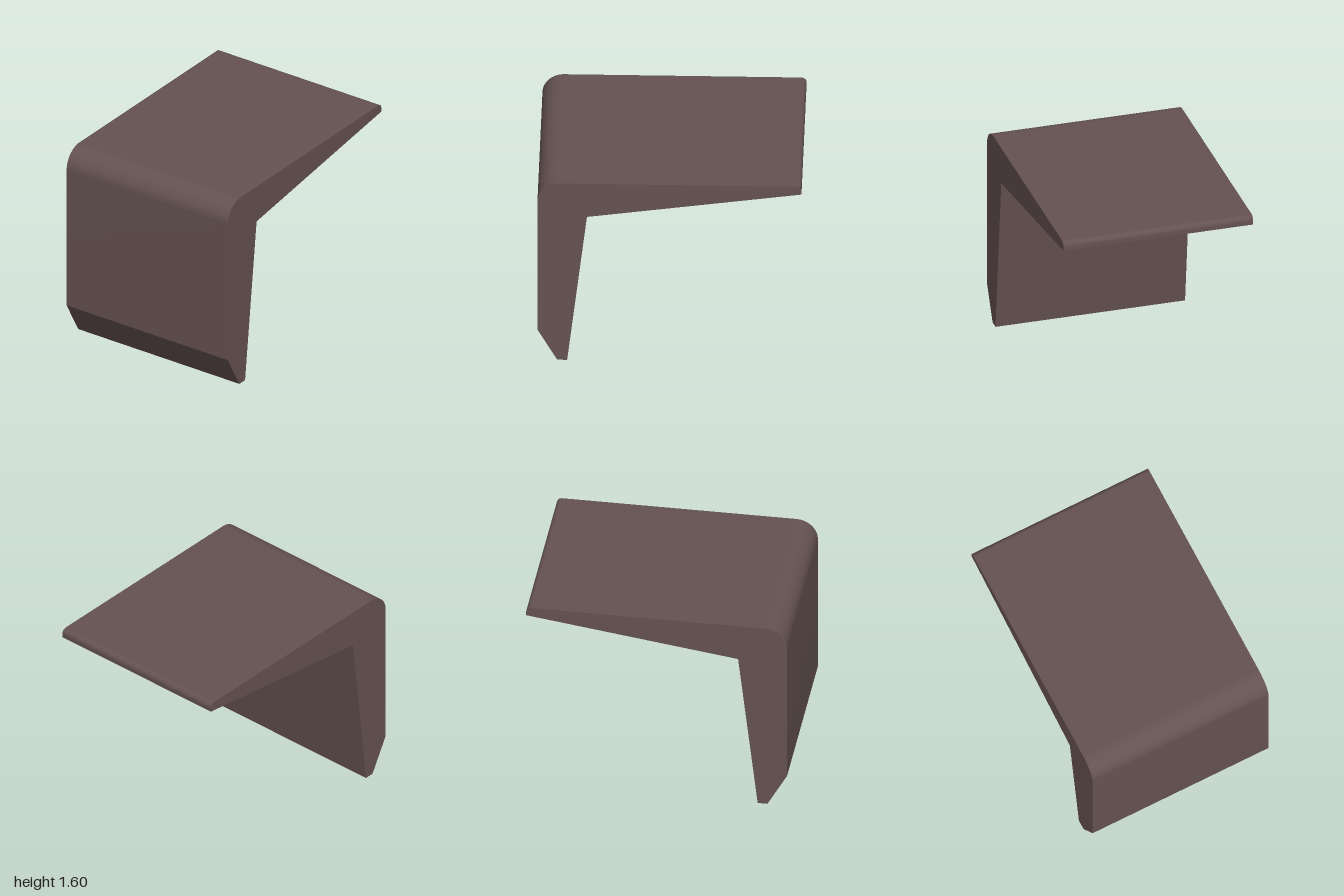
import * as THREE from 'three';
import { toCreasedNormals } from 'three/addons/utils/BufferGeometryUtils.js';

const WIDTH = 1.5;

export function createModel() {
  const group = new THREE.Group();
  group.name = 'angledBracket';

  // Side profile: shape x becomes model z, shape y stays up
  const profile = new THREE.Shape();
  profile.moveTo(0.85, 0);
  profile.lineTo(1, 0.27);
  profile.lineTo(1, 1.435);
  profile.absarc(0.835, 1.435, 0.165, 0, Math.PI / 2, false); // rounded front edge
  profile.lineTo(-0.96, 1.6);
  profile.absarc(-0.96, 1.56, 0.04, Math.PI / 2, Math.PI, false); // rounded back lip
  profile.lineTo(-1, 1.53);
  profile.lineTo(0.625, 1.3); // inner corner
  profile.lineTo(0.775, 0);
  profile.closePath();

  // Sweep the profile across the full width
  const geometry = new THREE.ExtrudeGeometry(profile, {
    depth: WIDTH, bevelEnabled: false, curveSegments: 24,
  });
  geometry.translate(0, 0, -WIDTH / 2);
  geometry.rotateY(-Math.PI / 2);

  const panel = new THREE.Mesh(
    toCreasedNormals(geometry, 0.35),
    new THREE.MeshStandardMaterial({ color: 0x655250 }),
  );
  panel.name = 'bentPanel';
  group.add(panel);
  return group;
}
